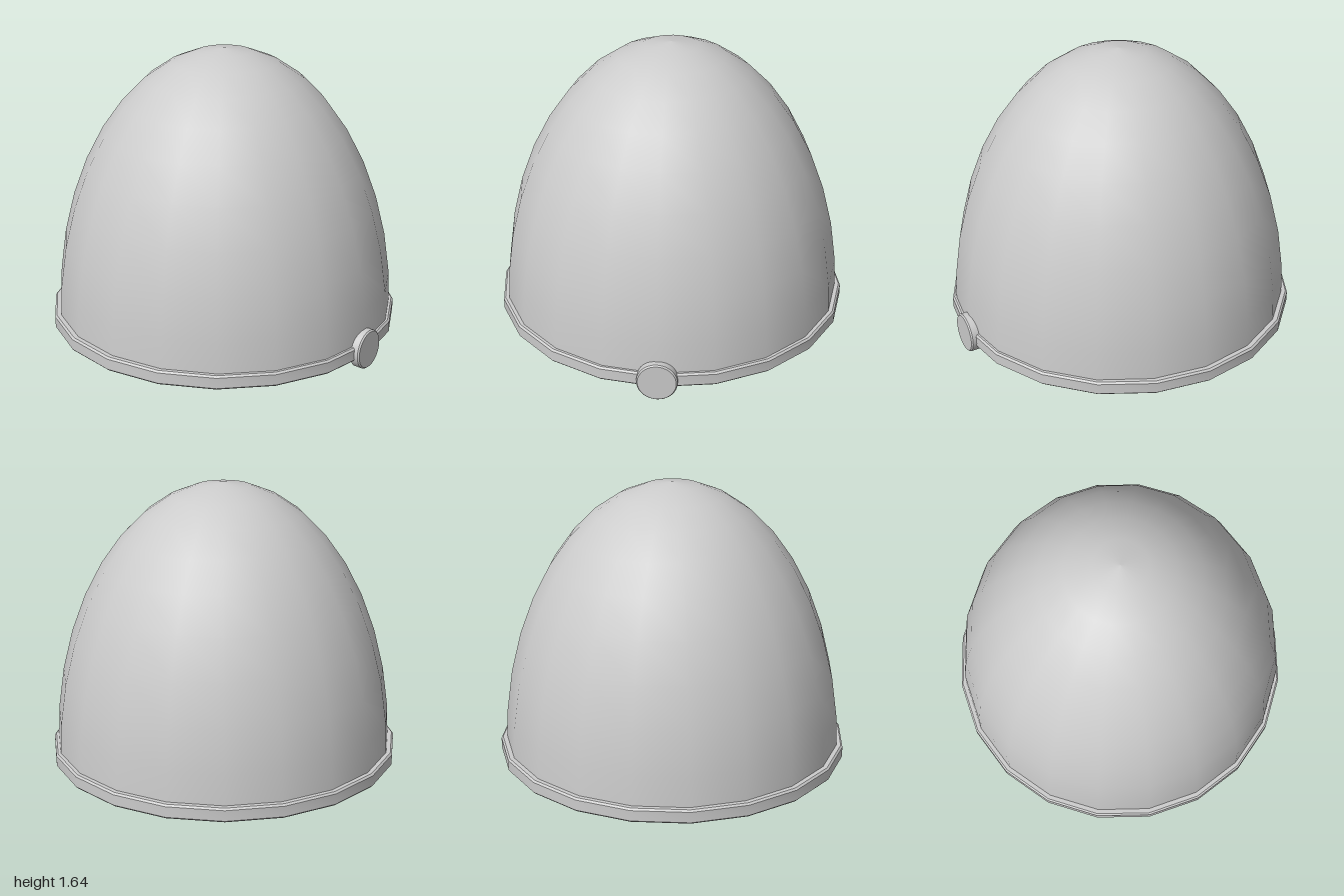
import * as THREE from 'three';
import { toCreasedNormals } from 'three/addons/utils/BufferGeometryUtils.js';

const SIDES = 20, BASE = 0.07, CEILING = 0.7;
const SLOT_X = 0.434, SLOT_R = 0.306, SLOT_HALF = 0.317;

// Stadium outline: shape x -> model x, shape y -> model z
function addSlotOutline(path, cx) {
  path.absarc(cx, SLOT_HALF, SLOT_R, 0, Math.PI, false);
  path.absarc(cx, -SLOT_HALF, SLOT_R, Math.PI, Math.PI * 2, false);
  path.closePath();
  return path;
}

function lathe(pairs, sides) {
  return new THREE.LatheGeometry(pairs.map(([r, y]) => new THREE.Vector2(r, y)), sides);
}

export function createModel() {
  const group = new THREE.Group();
  const grey = new THREE.MeshStandardMaterial({ color: 0xcccccc });
  const greyDouble = new THREE.MeshStandardMaterial({ color: 0xcccccc, side: THREE.DoubleSide });
  const add = (name, geometry, material = grey) => {
    const mesh = new THREE.Mesh(geometry, material);
    mesh.name = name;
    group.add(mesh);
    return mesh;
  };

  // Dome: half ellipsoid in ten rings
  const dome = [];
  for (let i = 0; i <= 10; i++) {
    const a = (i / 10) * Math.PI / 2;
    dome.push([i === 10 ? 0 : 0.97 * Math.cos(a), BASE + 1.573 * Math.sin(a)]);
  }
  add('dome', lathe(dome, SIDES));

  // Rim band with small bevels
  const rim = lathe([[0.99, BASE], [1, BASE + 0.01], [1, 0.14], [0.99, 0.15], [0.95, 0.15]], SIDES);
  const rimMesh = add('rim', toCreasedNormals(rim, 0.5));

  // Underside plate with two slot openings
  const plate = new THREE.Shape();
  for (let i = 0; i < SIDES; i++) {
    const a = (i / SIDES) * Math.PI * 2;
    const x = 0.99 * Math.cos(a), y = 0.99 * Math.sin(a);
    if (i) plate.lineTo(x, y); else plate.moveTo(x, y);
  }
  plate.closePath();
  for (const s of [-1, 1]) plate.holes.push(addSlotOutline(new THREE.Path(), s * SLOT_X));
  const plateMesh = add('underside', new THREE.ShapeGeometry(plate, 24).rotateX(Math.PI / 2).translate(0, BASE, 0));

  for (const mesh of [rimMesh, plateMesh]) {
    mesh.scale.z = 0.993;
    mesh.position.z = -0.006;
  }

  // Slot pockets: a strip wrapped round the outline, closed by a ceiling
  for (const [s, side] of [[1, 'left'], [-1, 'right']]) {
    const outline = addSlotOutline(new THREE.Shape(), s * SLOT_X);
    const loop = outline.getPoints(24);
    const wall = new THREE.PlaneGeometry(1, 1, loop.length - 1, 1);
    const p = wall.attributes.position;
    for (let i = 0; i < p.count; i++) {
      const c = loop[i % loop.length];
      p.setXYZ(i, c.x, i < loop.length ? CEILING : BASE, c.y * 0.993 - 0.006);
    }
    add(side + 'SlotWall', toCreasedNormals(wall, 0.5), greyDouble);
    const top = new THREE.ShapeGeometry(outline, 24).rotateX(Math.PI / 2);
    add(side + 'SlotCeiling', top.translate(0, CEILING, -0.006), greyDouble);
  }

  // Round button on the front of the rim
  const button = lathe([[0, 0], [0.11, 0], [0.11, 0.045], [0.103, 0.053], [0, 0.053]], 40);
  const buttonMesh = add('frontButton', toCreasedNormals(button, 0.5));
  buttonMesh.rotation.x = Math.PI / 2;
  buttonMesh.position.set(0, 0.11, 0.946);

  return group;
}
